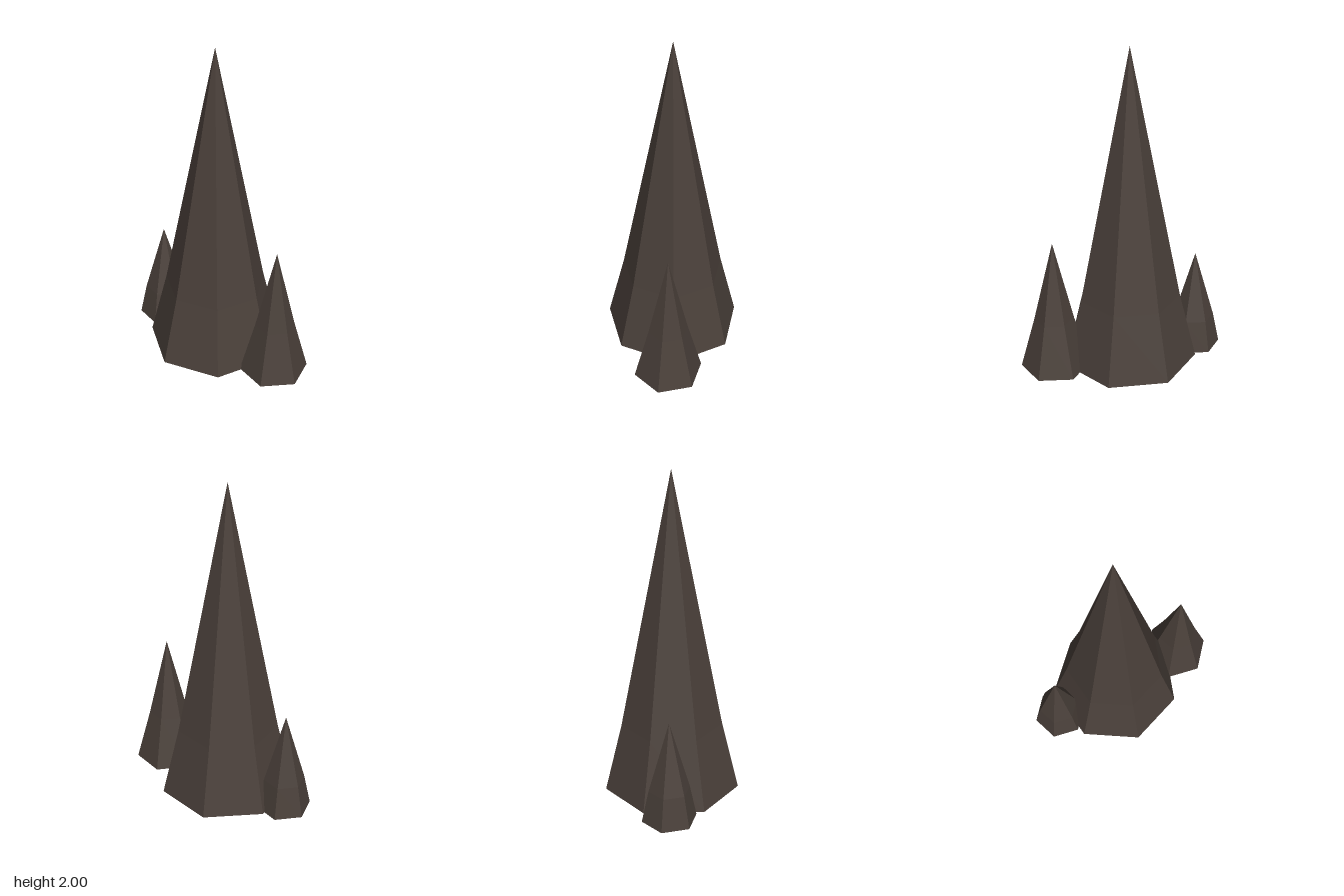
import * as THREE from 'three';

const rock = new THREE.MeshStandardMaterial({ color: 0x4a403a, flatShading: true });

// Faceted spike with a closed base and one bend ring between base and tip
function spike(name, { x, z, sides, radius, height, bendY, bendRadius, turn }) {
  const profile = [[0, 0], [radius, 0], [bendRadius, bendY], [0, height]]
    .map(([r, y]) => new THREE.Vector2(r, y));
  const mesh = new THREE.Mesh(
    new THREE.LatheGeometry(profile, sides, THREE.MathUtils.degToRad(turn)), rock);
  mesh.name = name;
  mesh.position.set(x, 0, z);
  return mesh;
}

export function createModel() {
  const group = new THREE.Group();
  group.name = 'rockSpires';
  group.add(
    // Tall seven-sided spire
    spike('mainSpire', {
      x: -0.045, z: -0.013, sides: 7, radius: 0.42, height: 2,
      bendY: 0.43, bendRadius: 0.314, turn: 4.8,
    }),
    // Two small six-sided spires at its foot
    spike('leftSpire', {
      x: 0.419, z: -0.122, sides: 6, radius: 0.21, height: 0.84,
      bendY: 0.33, bendRadius: 0.121, turn: 30,
    }),
    spike('rightSpire', {
      x: -0.465, z: 0.09, sides: 6, radius: 0.167, height: 0.635,
      bendY: 0.2, bendRadius: 0.125, turn: 30,
    }),
  );
  return group;
}
